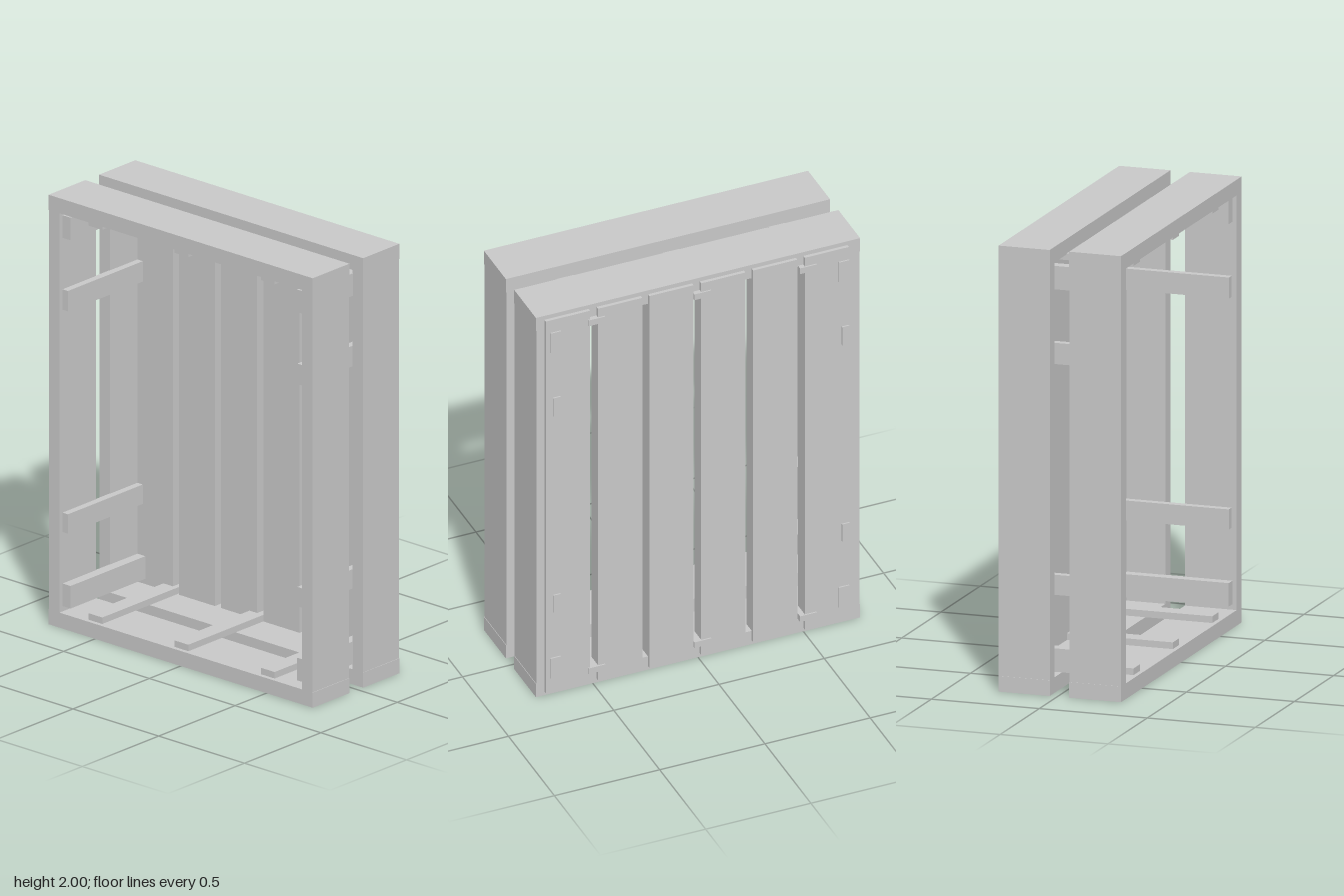
import * as THREE from 'three';

const wood = new THREE.MeshStandardMaterial({ color: 0xc8c8c8 });
wood.name = 'plain light grey';

// Box given by its lower and upper limits on each axis
function board(name, [x0, x1], [y0, y1], [z0, z1]) {
  const mesh = new THREE.Mesh(new THREE.BoxGeometry(x1 - x0, y1 - y0, z1 - z0), wood);
  mesh.name = name;
  mesh.position.set((x0 + x1) / 2, (y0 + y1) / 2, (z0 + z1) / 2);
  return mesh;
}

// Rectangular frame of four boards, the sides set in a hair from the ends
function frame(name, z) {
  const group = new THREE.Group();
  group.name = name;
  group.add(
    board('bottomBoard', [-0.77, 0.77], [0, 0.07], z),
    board('topBoard', [-0.77, 0.77], [1.93, 2], z),
    board('rightBoard', [-0.768, -0.707], [0.07, 1.93], z),
    board('leftBoard', [0.707, 0.768], [0.07, 1.93], z)
  );
  return group;
}

export function createModel() {
  const crate = new THREE.Group();
  crate.name = 'slattedCrate';
  crate.add(frame('frontFrame', [0.055, 0.295]), frame('backFrame', [-0.272, -0.035]));

  // Six thick upright slats closing the back
  for (const x of [-0.71, -0.465, -0.218, 0.028, 0.272, 0.52]) {
    crate.add(board('backSlat', [x, x + 0.21], [0.02, 1.98], [-0.288, -0.215]));
  }

  const depth = [-0.295, 0.275];

  // Battens joining the two frames along the floor and the ceiling
  for (const x of [-0.555, -0.053, 0.45]) {
    crate.add(
      board('floorBatten', [x, x + 0.08], [0.07, 0.1], depth),
      board('ceilingBatten', [x, x + 0.08], [1.905, 1.935], depth)
    );
  }

  // Wide battens near the corners of both side walls
  for (const y of [[0.095, 0.2], [1.81, 1.915]]) {
    crate.add(
      board('rightCornerBatten', [-0.71, -0.66], y, depth),
      board('leftCornerBatten', [0.66, 0.71], y, depth)
    );
  }

  // Narrow battens further in on both side walls
  for (const y of [[0.44, 0.53], [1.475, 1.57]]) {
    crate.add(
      board('rightRail', [-0.71, -0.675], y, depth),
      board('leftRail', [0.662, 0.697], y, depth)
    );
  }
  return crate;
}
